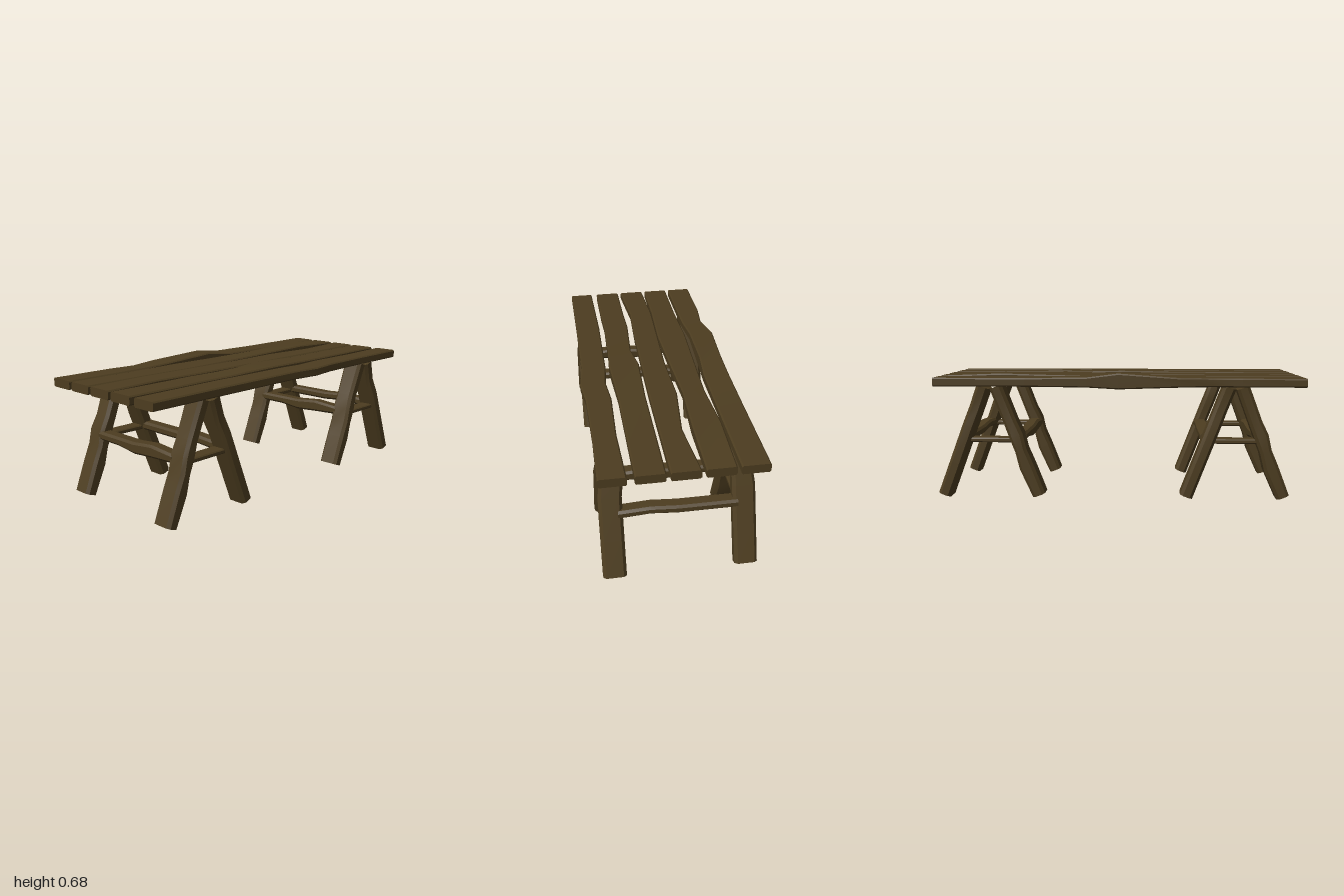
import * as THREE from 'three';
import { toCreasedNormals } from 'three/addons/utils/BufferGeometryUtils.js';

const wood = new THREE.MeshStandardMaterial({ color: 0x4d3d20 });

// Rough-hewn timber from a to b. Each row is [t, u0, u1, v0, v1]: the extents of a
// chamfered cross-section at fraction t, along u and along v = direction x u.
function timber(name, a, b, u, rows, chamfer) {
  const dir = b.clone().sub(a).normalize();
  const v = dir.clone().cross(u);
  const positions = [], index = [], n = 8;
  for (const [t, u0, u1, v0, v1] of rows) {
    const c = chamfer;
    const ring = [
      [u1, v0 + c], [u1, v1 - c], [u1 - c, v1], [u0 + c, v1],
      [u0, v1 - c], [u0, v0 + c], [u0 + c, v0], [u1 - c, v0],
    ];
    for (const [pu, pv] of ring) {
      const p = a.clone().lerp(b, t).addScaledVector(u, pu).addScaledVector(v, pv);
      positions.push(p.x, p.y, p.z);
    }
  }
  for (let i = 0; i < rows.length - 1; i++) {
    for (let j = 0; j < n; j++) {
      const p = i * n + j, q = i * n + (j + 1) % n;
      index.push(p, q, q + n, p, q + n, p + n);
    }
  }
  const last = (rows.length - 1) * n;
  for (let j = 1; j < n - 1; j++) {
    index.push(0, j + 1, j, last, last + j, last + j + 1);
  }
  const geometry = new THREE.BufferGeometry();
  geometry.setAttribute('position', new THREE.Float32BufferAttribute(positions, 3));
  geometry.setIndex(index);
  const mesh = new THREE.Mesh(toCreasedNormals(geometry, 0.7), wood);
  mesh.name = name;
  return mesh;
}

const V = (x, y, z) => new THREE.Vector3(x, y, z);
const Z = V(0, 0, 1), X = V(1, 0, 0);

// Plank edges, back to front: [x, back z, front z, extra thickness below, above]
const planks = [
  [[-1, -.405, -.265], [-.66, -.405, -.268], [-.5, -.39, -.27], [-.33, -.425, -.285, 0, .004],
    [0, -.4, -.275, .013, .025], [.17, -.405, -.265, .003, .004], [.5, -.405, -.265], [1, -.405, -.265]],
  [[-1, -.245, -.1], [-.66, -.245, -.1], [-.33, -.255, -.088], [0, -.245, -.1],
    [.33, -.235, -.115, 0, .003], [.66, -.25, -.1, .007, .013], [1, -.245, -.1]],
  [[-1, -.08, .065], [-.66, -.095, .04], [-.33, -.085, .055], [0, -.075, .06],
    [.33, -.085, .065], [.66, -.05, .065], [1, -.08, .065]],
  [[-1, .085, .23], [-.66, .085, .23], [-.5, .08, .225], [-.33, .09, .23, .01, 0],
    [-.17, .1, .235, .005, .004], [0, .075, .245, .012, .008], [.33, .085, .23], [1, .085, .23]],
  [[-1, .265, .4], [-.5, .257, .398], [0, .265, .4], [.17, .28, .42],
    [.33, .265, .4], [.66, .275, .395], [1, .265, .4]],
];

function makeTrestle() {
  const trestle = new THREE.Group();
  trestle.name = 'trestle';
  for (const s of [1, -1]) {
    // Splayed pair of legs, with hewn bulges placed on their inner faces
    const zIn = .275, zOut = .393;
    const span = (bulge, shift = 0) => s > 0
      ? [zIn - bulge, zOut - shift] : [-zOut + shift, -zIn + bulge];
    trestle.add(
      timber('rightLeg', V(-.262, .0125, 0), V(-.035, .61, 0), Z, [
        [0, ...span(0), -.035, .035],
        [.27, ...span(0), -.034, .046],
        [.42, ...span(0), -.03, .034],
        [.55, ...span(0), -.042, .035],
        [.68, ...span(0, .008), -.035, .035],
        [1, ...span(0), -.035, .035]], .016),
      timber('leftLeg', V(.262, .0125, 0), V(.035, .61, 0), Z, [
        [0, ...span(0), -.035, .035],
        [.3, ...span(0), -.035, .035],
        [.65, ...span(0), -.035, .035],
        [.8, ...span(s > 0 ? .013 : 0, .012), -.035, .035],
        [1, ...span(0), -.035, .035]], .016),
      // Short bar tying the pair of legs together
      timber('crossbar', V(.14, 0, s * .333), V(-.14, 0, s * .333), Z, [
        [0, -.04, .04, .305, .33],
        [1, -.04, .04, .305, .33]], .006),
    );
  }
  // Long stretchers between the front and back legs
  trestle.add(
    timber('rightStretcher', V(-.147, 0, -.3), V(-.147, 0, .3), X, [
      [0, -.037, .037, .303, .35],
      [.27, -.037, .037, .303, .35],
      [.5, -.037, .037, .287, .35],
      [.73, -.037, .037, .296, .363],
      [1, -.037, .037, .303, .35]], .012),
    timber('leftStretcher', V(.147, 0, -.3), V(.147, 0, .3), X, [
      [0, -.037, .037, .303, .35],
      [.5, -.037, .037, .303, .35],
      [.73, -.037, .037, .315, .36],
      [1, -.037, .037, .303, .35]], .012),
  );
  return trestle;
}

export function createModel() {
  const table = new THREE.Group();
  table.name = 'plankTable';

  // Table top
  const top = new THREE.Group();
  top.name = 'tableTop';
  for (const plank of planks) {
    const rows = plank.map(([x, z0, z1, below = 0, above = 0]) =>
      [(1 - x) / 2, z0, z1, .613 - below, .66 + above]).reverse();
    top.add(timber('plank', V(1, 0, 0), V(-1, 0, 0), Z, rows, .007));
  }
  table.add(top);

  // Two trestles carrying the top
  for (const x of [-.632, .698]) {
    const trestle = makeTrestle();
    trestle.position.x = x;
    table.add(trestle);
  }
  return table;
}
